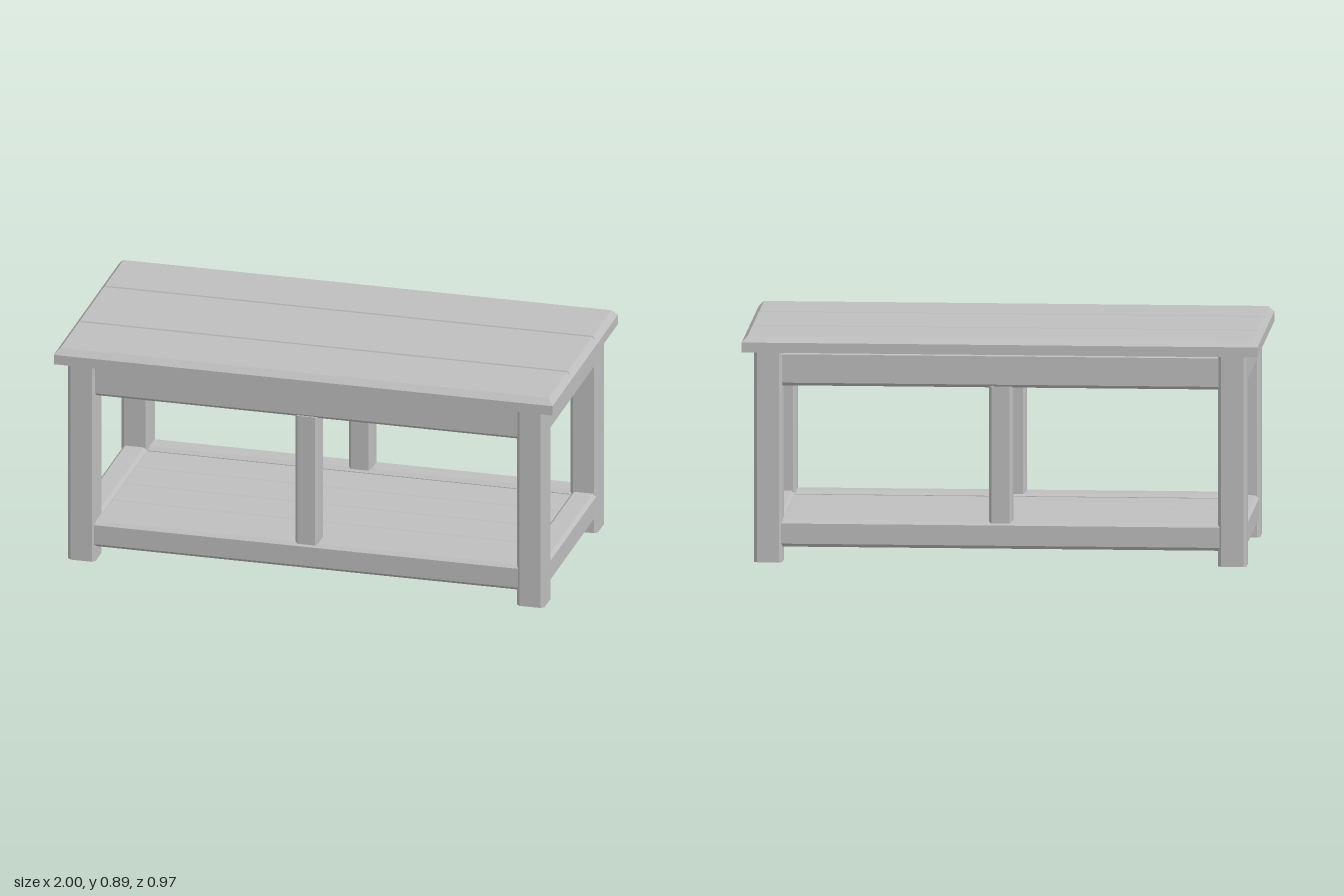
import * as THREE from 'three';
import { ConvexGeometry } from 'three/addons/geometries/ConvexGeometry.js';

const wood = new THREE.MeshStandardMaterial({ color: 0xbebebe });
wood.name = 'grey wood';

// Square-section bar with its four long edges chamfered, centred, running along z
function bar(w, h, length, c) {
  const x = w / 2, y = h / 2;
  const s = new THREE.Shape([
    [x - c, -y], [x, -y + c], [x, y - c], [x - c, y],
    [-x + c, y], [-x, y - c], [-x, -y + c], [-x + c, -y],
  ].map(([a, b]) => new THREE.Vector2(a, b)));
  return new THREE.ExtrudeGeometry(s, { depth: length, bevelEnabled: false })
    .translate(0, 0, -length / 2);
}

// Table-top board: the ends and outer edges slope, inner edges make V grooves
function topBoard(z0, z1) {
  const bottom = 0.825, shoulder = 0.864, top = 0.888, groove = 0.873, slope = 0.022;
  const pts = [];
  const add = (y, z) => {
    const x = 1 - slope * Math.max(0, (y - shoulder) / (top - shoulder));
    pts.push(new THREE.Vector3(x, y, z), new THREE.Vector3(-x, y, z));
  };
  for (const [z, inward] of [[z0, 1], [z1, -1]]) {
    const outer = Math.abs(z) > 0.4;
    add(bottom, z);
    add(shoulder, z);
    if (!outer) add(groove, z);
    add(top, z + inward * (outer ? slope : 0.007));
  }
  return new ConvexGeometry(pts);
}

export function createModel() {
  const model = new THREE.Group();
  const put = (name, geometry, x = 0, y = 0, z = 0) => {
    const m = new THREE.Mesh(geometry, wood);
    m.name = name;
    m.position.set(x, y, z);
    model.add(m);
  };

  // Top of three boards
  const seams = [-0.485, -0.185, 0.185, 0.485];
  for (let i = 0; i < 3; i++) put('topBoard', topBoard(seams[i], seams[i + 1]));

  const legX = 0.9, legZ = 0.395;
  const leg = bar(0.11, 0.11, 0.825, 0.012).rotateX(Math.PI / 2);
  const post = bar(0.09, 0.09, 0.535, 0.01).rotateX(Math.PI / 2);
  const longApron = bar(0.09, 0.135, 1.7, 0.012).rotateY(Math.PI / 2);
  const endApron = bar(0.09, 0.135, 0.69, 0.012);
  const longRail = bar(0.1, 0.105, 1.7, 0.013).rotateY(Math.PI / 2);
  const endRail = bar(0.1, 0.105, 0.69, 0.013);

  for (const s of [-1, 1]) {
    // Legs at the corners
    for (const t of [-1, 1]) put('leg', leg, s * legX, 0.4125, t * legZ);
    // Aprons under the top
    put('longApron', longApron, 0, 0.7575, s * legZ);
    put('endApron', endApron, s * legX, 0.7575, 0);
    // Low rails around the shelf
    put('longRail', longRail, 0, 0.1125, s * legZ);
    put('endRail', endRail, s * legX, 0.1125, 0);
    // Middle posts between rail and apron
    put('middlePost', post, 0, 0.4275, s * legZ);
  }

  // Shelf boards with chamfered edges
  const count = 4, width = 0.7 / count;
  const board = bar(width, 0.045, 1.72, 0.007).rotateY(Math.PI / 2);
  for (let i = 0; i < count; i++) {
    put('shelfBoard', board, 0, 0.1275, (i - (count - 1) / 2) * width);
  }
  return model;
}
